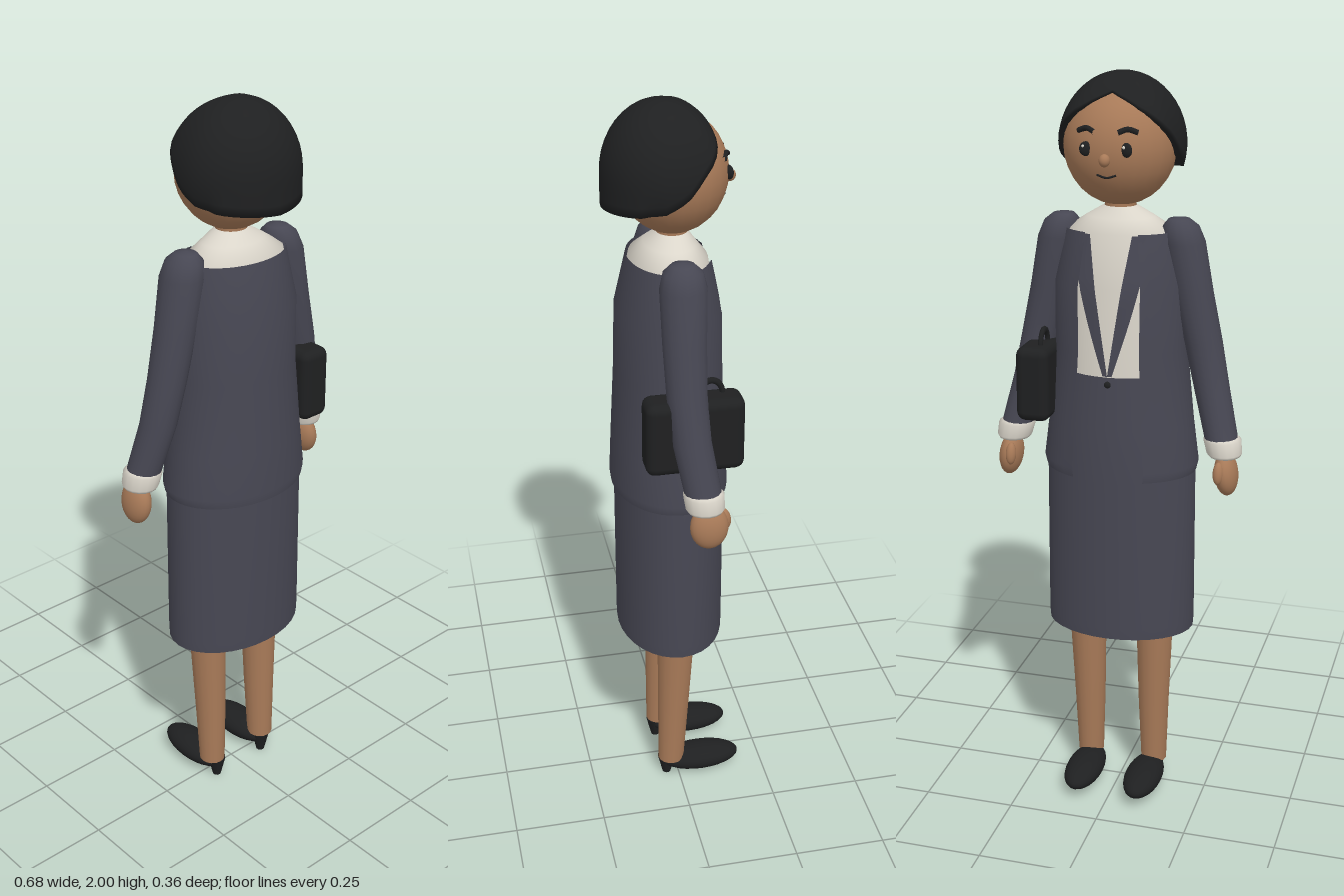
import * as THREE from 'three';
import { mergeVertices } from 'three/addons/utils/BufferGeometryUtils.js';
import { RoundedBoxGeometry } from 'three/addons/geometries/RoundedBoxGeometry.js';

function material(name, color, side = THREE.FrontSide) {
  const m = new THREE.MeshStandardMaterial({ color, side });
  m.name = name;
  return m;
}

// Surface from a rule; rows run upward, columns run front -> +x -> back
function grid(rows, cols, point) {
  const pos = [], index = [];
  for (let i = 0; i <= rows; i++)
    for (let j = 0; j <= cols; j++) pos.push(...point(i, j));
  for (let i = 0; i < rows; i++)
    for (let j = 0; j < cols; j++) {
      const a = i * (cols + 1) + j, b = a + cols + 1;
      index.push(a, b, a + 1, a + 1, b, b + 1);
    }
  let g = new THREE.BufferGeometry();
  g.setAttribute('position', new THREE.Float32BufferAttribute(pos, 3));
  g.setIndex(index);
  g = mergeVertices(g, 1e-5);
  g.computeVertexNormals();
  return g;
}

// Elliptical sections [y, cx, cz, rx, rz], optionally open at the front
function loft(sections, sides = 24, gap = 0) {
  return grid(sections.length - 1, sides, (i, j) => {
    const [y, cx, cz, rx, rz] = sections[i];
    const a = gap + (Math.PI * 2 - gap * 2) * j / sides;
    return [cx + rx * Math.sin(a), y, cz - rz * Math.cos(a)];
  });
}

// Linear interpolation through [x, y] pairs
function lerpTable(table, x) {
  for (let k = 1; k < table.length; k++) {
    const [x0, y0] = table[k - 1], [x1, y1] = table[k];
    if (x <= x1) return y0 + (y1 - y0) * (x - x0) / (x1 - x0);
  }
  return table[table.length - 1][1];
}

export function createModel() {
  const model = new THREE.Group();
  model.name = 'woman in suit';
  const skin = material('skin', 0xa87a58);
  const suit = material('suit', 0x474753, THREE.DoubleSide);
  const white = material('blouse white', 0xdad5ca, THREE.DoubleSide);
  const black = material('black', 0x1f2021, THREE.DoubleSide);

  function add(name, geometry, mat, p = [0, 0, 0], s = [1, 1, 1], r = [0, 0, 0]) {
    const m = new THREE.Mesh(geometry, mat);
    m.name = name;
    m.position.set(...p);
    m.scale.set(...s);
    m.rotation.set(...r);
    model.add(m);
    return m;
  }
  const ball = new THREE.SphereGeometry(1, 24, 16);

  // Clothing on the body
  add('skirt', loft([
    [0.5, 0, 0.01, 0.204, 0.144], [0.53, 0, 0.01, 0.205, 0.145], [0.95, 0, 0.01, 0.203, 0.145],
    [1.1, 0, 0.01, 0.185, 0.138], [1.24, 0, 0.01, 0.166, 0.13],
  ], 32), suit);
  const blouse = [
    [1.235, 0, 0.01, 0.166, 0.13], [1.47, 0, 0.012, 0.168, 0.124], [1.605, 0, 0.01, 0.143, 0.098],
    [1.64, 0, 0.006, 0.09, 0.066], [1.668, 0, 0, 0.042, 0.04],
  ];
  add('blouse', loft(blouse, 32), white);
  add('jacket', loft([
    [0.96, 0, 0.01, 0.205, 0.154], [0.985, 0, 0.01, 0.211, 0.157], [1.1, 0, 0.01, 0.196, 0.152],
    [1.3, 0, 0.01, 0.176, 0.142], [1.47, 0, 0.01, 0.178, 0.137], [1.608, 0, 0.01, 0.15, 0.105],
  ], 32, 0.48), suit);
  const blouseFront = (x, y) => {
    const rx = lerpTable(blouse.map(b => [b[0], b[3]]), y);
    const rz = lerpTable(blouse.map(b => [b[0], b[4]]), y);
    return 0.01 - rz * Math.sqrt(Math.max(0, 1 - (x / rx) ** 2));
  };
  for (const s of [1, -1]) {
    // Lapels form a V over the blouse
    add('lapel', grid(10, 3, (i, j) => {
      const t = i / 10, y = 1.245 + 0.36 * t;
      const inner = 0.055 * t, outer = 0.012 + 0.045 * Math.sin(t * Math.PI / 2) + 0.045 * t;
      const x = s * (inner + (outer - inner) * (s > 0 ? j : 3 - j) / 3);
      return [x, y, blouseFront(x, y) - 0.009];
    }), suit);
  }
  add('button', ball, black, [0, 1.222, -0.125], [0.009, 0.009, 0.005]);

  // Neck and head
  add('neck', new THREE.CylinderGeometry(0.04, 0.04, 0.11, 20), skin, [0, 1.675, 0]);
  add('head', ball, skin, [0, 1.82, 0], [0.145, 0.152, 0.14]);
  add('nose', ball, skin, [0, 1.8, -0.146], [0.014, 0.016, 0.015]);

  // Bobbed hair with a centre parting; the hairline depends on the angle from the front
  const hairline = [[0, 1.955], [0.35, 1.935], [0.7, 1.9], [1.05, 1.85], [1.35, 1.795],
    [1.7, 1.765], [2.2, 1.755], [Math.PI, 1.742]];
  add('hair', grid(15, 48, (i, j) => {
    const a = Math.PI * 2 * j / 48, f = Math.min(a, Math.PI * 2 - a);
    const tMax = Math.acos((lerpTable(hairline, f) - 1.82) / 0.18);
    const t = tMax * (1 - Math.max(0, i - 1) / 14);
    const fuller = 1 + 0.1 * Math.exp(-(((f - 0.75) / 0.35) ** 2));
    const back = f > 2 && t > 1.57 ? 1 / Math.sin(t) : 1;
    const r = Math.sin(t) * fuller * back * (i === 0 ? 0.65 : 1);
    return [0.163 * r * Math.sin(a), 1.82 + 0.18 * Math.cos(t), 0.025 - 0.152 * r * Math.cos(a)];
  }), black);

  // Face details
  const faceZ = (x, y) => -0.14 * Math.sqrt(1 - (x / 0.145) ** 2 - ((y - 1.82) / 0.152) ** 2);
  for (const s of [1, -1]) {
    add('eye', ball, black, [s * 0.052, 1.825, faceZ(0.052, 1.825)], [0.016, 0.018, 0.009], [0, s * 0.38, 0]);
    add('eyeGlint', ball, white, [s * 0.052 + 0.005, 1.832, faceZ(0.052, 1.832) - 0.008], [0.004, 0.004, 0.003]);
    const brow = new THREE.CatmullRomCurve3([[0.03, 1.866], [0.052, 1.874], [0.076, 1.866]].map(
      ([x, y]) => new THREE.Vector3(s * x, y, faceZ(x, y) - 0.001)));
    add('eyebrow', new THREE.TubeGeometry(brow, 8, 0.007, 6), black);
  }
  const smile = new THREE.CatmullRomCurve3([[-0.025, 1.762], [0, 1.755], [0.025, 1.762]].map(
    ([x, y]) => new THREE.Vector3(x, y, faceZ(x, y))));
  add('mouth', new THREE.TubeGeometry(smile, 8, 0.003, 6), black);

  // Arms, legs and shoes, mirrored
  for (const s of [1, -1]) {
    const side = sections => sections.map(([y, x, ...rest]) => [y, s * x, ...rest]);
    add('sleeve', loft(side([
      [1.07, 0.281, -0.022, 0.044, 0.048], [1.2, 0.248, 0, 0.047, 0.05], [1.32, 0.222, 0.008, 0.05, 0.052],
      [1.45, 0.192, 0.008, 0.053, 0.056], [1.58, 0.167, 0.006, 0.055, 0.06],
      [1.62, 0.158, 0.005, 0.047, 0.05], [1.638, 0.154, 0.005, 0.028, 0.03], [1.643, 0.153, 0.005, 0, 0],
    ]), 16), suit);
    add('cuff', loft(side([
      [1.025, 0.292, -0.026, 0, 0], [1.025, 0.292, -0.026, 0.042, 0.046], [1.033, 0.291, -0.026, 0.047, 0.051],
      [1.068, 0.284, -0.023, 0.05, 0.053], [1.075, 0.282, -0.022, 0.042, 0.046],
    ]), 16), white);
    add('hand', ball, skin, [s * 0.299, 0.978, -0.035], [0.031, 0.06, 0.05], [0, 0, s * 0.12]);
    add('thumb', ball, skin, [s * 0.286, 0.99, -0.078], [0.014, 0.03, 0.016], [0.2, 0, 0]);
    add('leg', loft(side([
      [0.06, 0.094, 0.022, 0.036, 0.037], [0.25, 0.094, 0.016, 0.043, 0.044],
      [0.52, 0.097, 0.008, 0.052, 0.053], [0.62, 0.098, 0.008, 0.052, 0.053],
    ]), 16), skin);
    add('shoe', ball, black, [s * 0.087, 0.046, -0.065], [0.052, 0.036, 0.115]);
    add('heel', new THREE.CylinderGeometry(0.026, 0.012, 0.06, 10), black, [s * 0.087, 0.03, 0.034]);
  }

  // Shoulder bag with a small handle
  add('bag', new RoundedBoxGeometry(0.09, 0.2, 0.255, 2, 0.024), black, [0.205, 1.205, -0.0125]);
  add('bagHandle', new THREE.TorusGeometry(0.03, 0.007, 8, 16, Math.PI), black,
    [0.192, 1.3, -0.06], [1, 1.3, 1], [0, Math.PI / 2, 0]);
  return model;
}
